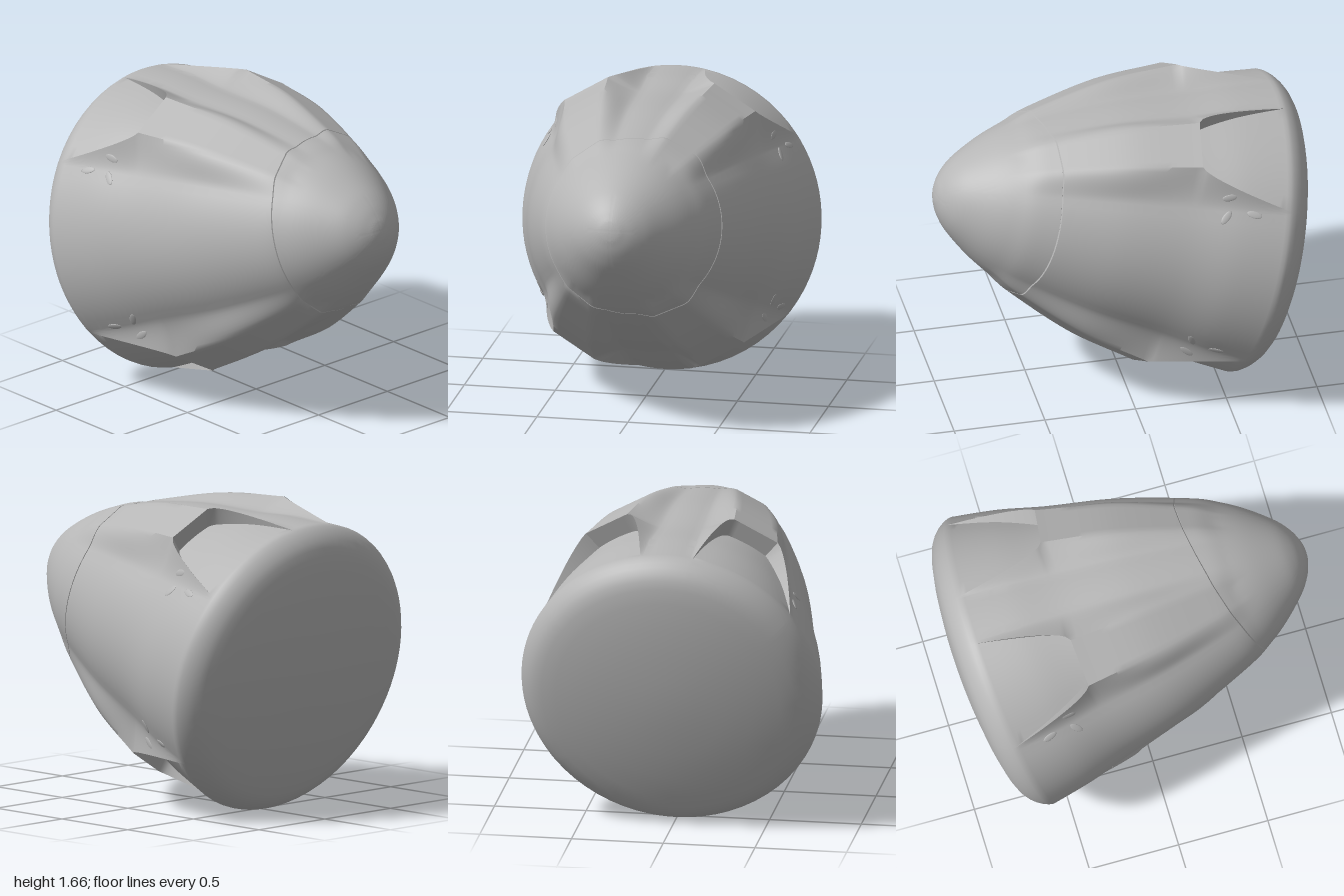
import * as THREE from 'three';
import { toCreasedNormals } from 'three/addons/utils/BufferGeometryUtils.js';

const DEG = Math.PI / 180;
const STEP = 0.5;      // station where the pods are cut off
const SEAM = 1.275;    // station of the nose cap joint
const V2 = (a) => a.map(([x, y]) => new THREE.Vector2(x, y));
const { lerp, smoothstep, clamp } = THREE.MathUtils;

// Side profile of the shell: station along the axis, radius
const profile = new THREE.SplineCurve(V2([
  [0, 0.82], [0.25, 0.772], [0.5, 0.703], [0.88, 0.612], [1.26, 0.477], [1.4, 0.405],
  [1.52, 0.325], [1.65, 0.212], [1.71, 0.135], [1.74, 0.07], [1.749, 0.035], [1.752, 0],
])).getPoints(440);

// Shallow domed base with a rounded rim
const base = [
  [-0.215, 0], [-0.212, 0.15], [-0.2, 0.32], [-0.182, 0.47], [-0.158, 0.61], [-0.138, 0.69],
  [-0.12, 0.733], [-0.097, 0.765], [-0.07, 0.789], [-0.045, 0.805], [-0.02, 0.816],
];

function lookup(points, t) {
  for (let i = 1; i < points.length; i++) {
    const a = points[i - 1], b = points[i];
    if (t <= b.x) return lerp(a.y, b.y, clamp((t - a.x) / (b.x - a.x || 1), 0, 1));
  }
  return 0;
}
const bodyRadius = (t) => lookup(profile, t);
const podHeights = new THREE.SplineCurve(V2([
  [0.5, 0.112], [0.88, 0.08], [1.26, 0.026], [1.45, 0], [2, 0],
])).getPoints(80);

// One quarter of a cross-section: [angle from the top, radius] with a doubled column at each pod edge
function quarter(t, r, tail) {
  const u = clamp((STEP - t) / STEP, 0, 1);
  const lo = 21 - 11 * u ** 0.55, hi = 40 + 14 * u ** 0.7;
  const foot1 = 9, foot2 = 56;
  let edge = r;
  if (!tail) edge += Math.max(0, lookup(podHeights, t));
  else if (t > 0) edge = Math.max(r, lerp(0.815, 0.82, u));
  const out = [];
  const span = (a, b, n, f) => {
    for (let i = 0; i <= n; i++) out.push([lerp(a, b, i / n), f(i / n)]);
  };
  // Flanks are crisp at the cut and rounder towards the nose
  const soft = smoothstep(t, STEP, 1);
  const flank = (k, power) => r + (edge - r) * lerp(k ** power, k * k * (3 - 2 * k), soft);
  const flat = () => r;
  const top = (k) => tail ? r
    : Math.max(r, edge * Math.cos(9.5 * DEG) / Math.cos((k - 0.5) * 19 * DEG));
  span(0, foot1, 3, flat);
  out.pop();
  span(foot1, lo, 8, (k) => flank(k, 1.5));
  span(lo, hi, 8, top);
  span(hi, foot2, 9, (k) => flank(1 - k, 1.8));
  out.pop();
  span(foot2, 90, 8, flat);
  return out;
}

// Complete ring of points at a station; the joint is skewed slightly to one side
function ring({ t: s, r: fixed, tail, inset = 0 }) {
  const w = smoothstep(s, 0.6, 1.2) * (1 - smoothstep(s, 1.3, 1.7));
  const r0 = fixed ?? bodyRadius(s);
  const build = (flipY, flipZ) => quarter(s, r0, tail).map(([deg], i) => {
    const sin = Math.sin(deg * DEG) * flipZ, cos = Math.cos(deg * DEG) * flipY;
    const t = s + w * r0 * (0.19 * sin - 0.05 * cos);
    const r = quarter(t, fixed ?? bodyRadius(t), tail)[i][1] - inset;
    return new THREE.Vector3(t, r * cos, r * sin);
  });
  return [
    ...build(1, 1), ...build(-1, 1).reverse().slice(1),
    ...build(-1, -1).slice(1), ...build(1, -1).reverse().slice(1),
  ];
}

// Skin a list of stations, leaving out collapsed triangles
function skin(stations) {
  const rings = stations.map(ring), pos = [];
  const tri = (a, b, c) => {
    const area = b.clone().sub(a).cross(c.clone().sub(a)).length();
    if (area > 1e-9) for (const p of [a, b, c]) pos.push(p.x, p.y, p.z);
  };
  for (let i = 0; i + 1 < rings.length; i++) {
    const A = rings[i], B = rings[i + 1];
    for (let j = 0; j + 1 < A.length; j++) {
      tri(A[j], A[j + 1], B[j]);
      tri(A[j + 1], B[j + 1], B[j]);
    }
  }
  const g = new THREE.BufferGeometry();
  g.setAttribute('position', new THREE.Float32BufferAttribute(pos, 3));
  return toCreasedNormals(g, 42 * DEG);
}

const range = (a, b, n) => Array.from({ length: n + 1 }, (_, i) => lerp(a, b, i / n));

export function createModel() {
  const hull = new THREE.MeshStandardMaterial({ color: 0xb6b6b6 });
  hull.name = 'hull grey';
  const group = new THREE.Group();
  group.name = 'capsule';
  const body = new THREE.Group();
  body.name = 'tiltedCapsule';
  body.rotation.z = Math.atan2(0.243, 0.97);
  body.position.set(-0.7, 0.796, 0);
  group.add(body);
  const add = (name, geometry) => {
    const m = new THREE.Mesh(geometry, hull);
    m.name = name;
    body.add(m);
    return m;
  };

  // Main shell with domed base and four pods, each cut to an open recess at the rear
  add('mainShell', skin([
    ...base.map(([t, r]) => ({ t, r, tail: true })),
    ...range(0, STEP, 24).map((t) => ({ t, tail: true })),
    ...range(STEP, SEAM - 0.003, 24).map((t) => ({ t })),
    { t: SEAM, inset: 0.01 },
  ]));

  // Nose cap, parted from the shell by a fine groove
  add('noseCap', skin([
    { t: SEAM, inset: 0.01 },
    ...range(SEAM + 0.003, 1.7, 20).map((t) => ({ t })),
    ...profile.filter((p, i) => p.x > 1.705 && i % 8 === 0).map((p) => ({ t: p.x, r: p.y })),
  ]));

  // Thruster ports in four mirrored clusters: station, height, depth, turn, lean down the pod flank
  const ports = [
    [0.19, 0.436, 0.657, 11, 0], [0.33, 0.493, 0.598, -24, 0.6], [0.336, 0.394, 0.643, -59, 0],
  ];
  const portShape = new THREE.SphereGeometry(1, 20, 10).scale(0.042, 0.019, 0.0045);
  for (const sy of [1, -1]) for (const sz of [1, -1]) for (const [t, y, z, turn, lean] of ports) {
    const p = add('thrusterPort', portShape);
    const out = new THREE.Vector3(0, (y - lean * z) * sy, (z + lean * y) * sz).normalize();
    const along = new THREE.Vector3(1, 0, 0).addScaledVector(out, -0.24).normalize();
    const across = out.clone().cross(along).normalize();
    const normal = along.clone().cross(across);
    p.quaternion.setFromRotationMatrix(new THREE.Matrix4().makeBasis(along, across, normal));
    p.rotateZ(turn * DEG * sy * sz);
    p.position.set(t, y * sy, z * sz);
  }
  return group;
}
